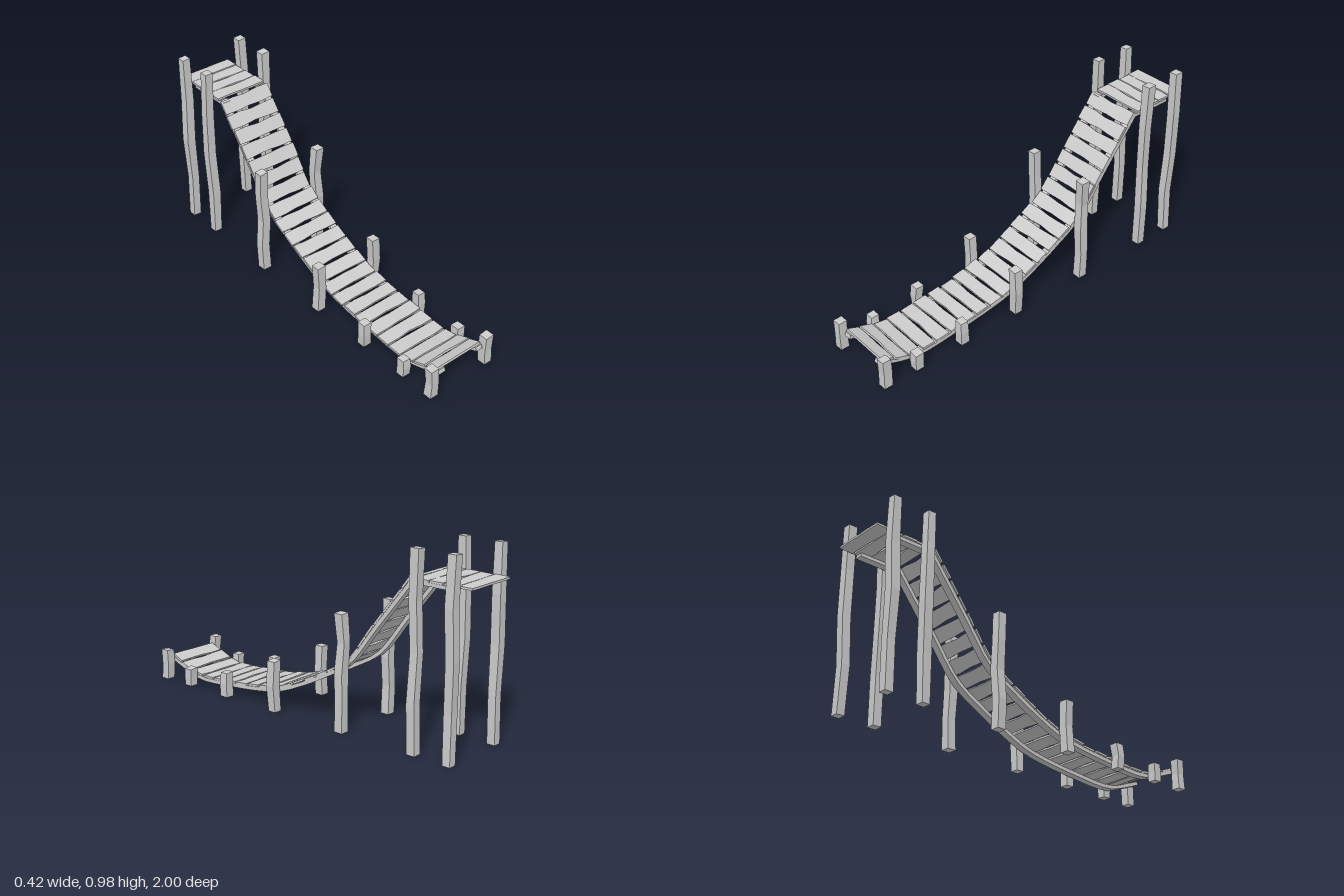
import * as THREE from 'three';

const wood = new THREE.MeshStandardMaterial({ color: 0xcccccc, flatShading: true });

// Seeded jitter in -1..1
let seed = 11;
const jitter = () => {
  seed = (seed * 16807) % 2147483647;
  return (seed / 2147483647) * 2 - 1;
};

function addMesh(parent, name, geometry) {
  const mesh = new THREE.Mesh(geometry, wood);
  mesh.name = name;
  parent.add(mesh);
  return mesh;
}

// Walking line of the sloping deck, as (z, y)
const deckLine = new THREE.CatmullRomCurve3([
  [0.97, 0.127], [0.88, 0.093], [0.78, 0.06], [0.7, 0.053], [0.51, 0.068], [0.3, 0.092], [0.16, 0.122],
  [0, 0.19], [-0.14, 0.262], [-0.285, 0.352], [-0.45, 0.56], [-0.665, 0.83],
].map(([z, y]) => new THREE.Vector3(0, y, z)), false, 'centripetal');

// Plank: thin board with a wavy, slightly waisted outline
function plank(width) {
  const length = 0.293, segments = 4;
  const g = new THREE.BoxGeometry(length, 0.011, width, segments, 1, 1);
  const front = [], back = [], sag = [];
  for (let i = 0; i <= segments; i++) {
    const waist = i === 2 ? -0.003 : 0;
    front.push(waist + jitter() * 0.003);
    back.push(waist + jitter() * 0.003);
    sag.push(jitter() * 0.0015);
  }
  const ends = [jitter() * 0.005, jitter() * 0.005];
  const p = g.attributes.position;
  for (let k = 0; k < p.count; k++) {
    const i = Math.round((p.getX(k) / length + 0.5) * segments);
    const z = p.getZ(k);
    p.setZ(k, z > 0 ? z + front[i] : z - back[i]);
    p.setY(k, p.getY(k) + sag[i]);
    if (i === 0) p.setX(k, p.getX(k) + ends[0]);
    if (i === segments) p.setX(k, p.getX(k) + ends[1]);
  }
  g.computeVertexNormals();
  return g;
}

// Post: square timber whose inner rings wander off the axis
function post(height) {
  const rings = height > 0.5 ? 4 : 2;
  const g = new THREE.BoxGeometry(0.046, height, 0.046, 1, rings, 1);
  g.translate(0, height / 2, 0);
  const bend = Math.min(0.009, height * 0.04);
  const offsets = [];
  for (let i = 0; i <= rings; i++) {
    const s = i === 0 ? 0 : i === rings ? 0.3 : 1;
    offsets.push([jitter() * bend * s, jitter() * bend * s, 1 + jitter() * 0.07]);
  }
  const tilt = jitter() * 0.1;
  const p = g.attributes.position;
  for (let k = 0; k < p.count; k++) {
    const i = Math.round((p.getY(k) / height) * rings);
    const [dx, dz, s] = offsets[i];
    if (i === rings) p.setY(k, height - 0.003 + p.getX(k) * tilt);
    p.setX(k, p.getX(k) * s + dx);
    p.setZ(k, p.getZ(k) * s + dz);
  }
  g.computeVertexNormals();
  return g;
}

// Curved beam: the deck line offset below the planks, extruded sideways
function curvedRail() {
  const top = [], bottom = [];
  for (let i = 0; i <= 28; i++) {
    const p = deckLine.getPointAt(i / 28), t = deckLine.getTangentAt(i / 28);
    const at = (d) => new THREE.Vector2(p.z - t.y * d, p.y + t.z * d);
    top.push(at(0.006));
    bottom.push(at(0.026));
  }
  const g = new THREE.ExtrudeGeometry(new THREE.Shape([...top, ...bottom.reverse()]), {
    depth: 0.04, bevelEnabled: false,
  });
  g.translate(0, 0, -0.02);
  g.rotateY(-Math.PI / 2);
  return g;
}

export function createModel() {
  const model = new THREE.Group();
  model.name = 'plankBridge';

  // Sloping deck
  const deck = new THREE.Group();
  deck.name = 'slopingDeck';
  model.add(deck);
  const count = 23;
  for (let i = 0; i < count; i++) {
    const u = (i + 0.5) / count;
    const t = deckLine.getTangentAt(u);
    const m = addMesh(deck, 'deckPlank', plank(0.074));
    m.position.copy(deckLine.getPointAt(u));
    m.position.x = -0.007;
    m.rotation.set(Math.atan2(t.y, -t.z) + jitter() * 0.02, jitter() * 0.01, jitter() * 0.006);
  }

  // Level platform at the high end
  const platform = new THREE.Group();
  platform.name = 'platform';
  model.add(platform);
  for (let i = 0; i < 4; i++) {
    const m = addMesh(platform, 'platformPlank', plank(0.075));
    m.position.set(-0.007, 0.824, -0.724 - i * 0.079);
    m.rotation.set(jitter() * 0.02, jitter() * 0.01, 0);
  }

  // Beams under both edges
  for (const x of [-0.125, 0.12]) {
    addMesh(model, 'curvedRail', curvedRail()).position.x = x;
    addMesh(model, 'platformRail', new THREE.BoxGeometry(0.04, 0.018, 0.255)).position.set(x, 0.81, -0.775);
  }

  // Pairs of posts: z position and height
  const posts = [
    [0.972, 0.165], [0.785, 0.098], [0.508, 0.135], [0.16, 0.272],
    [-0.285, 0.602], [-0.724, 0.982], [-0.924, 0.982],
  ];
  for (const [z, height] of posts) {
    addMesh(model, 'rightPost', post(height)).position.set(-0.188, 0, z);
    addMesh(model, 'leftPost', post(height)).position.set(0.172, 0, z);
  }
  return model;
}
